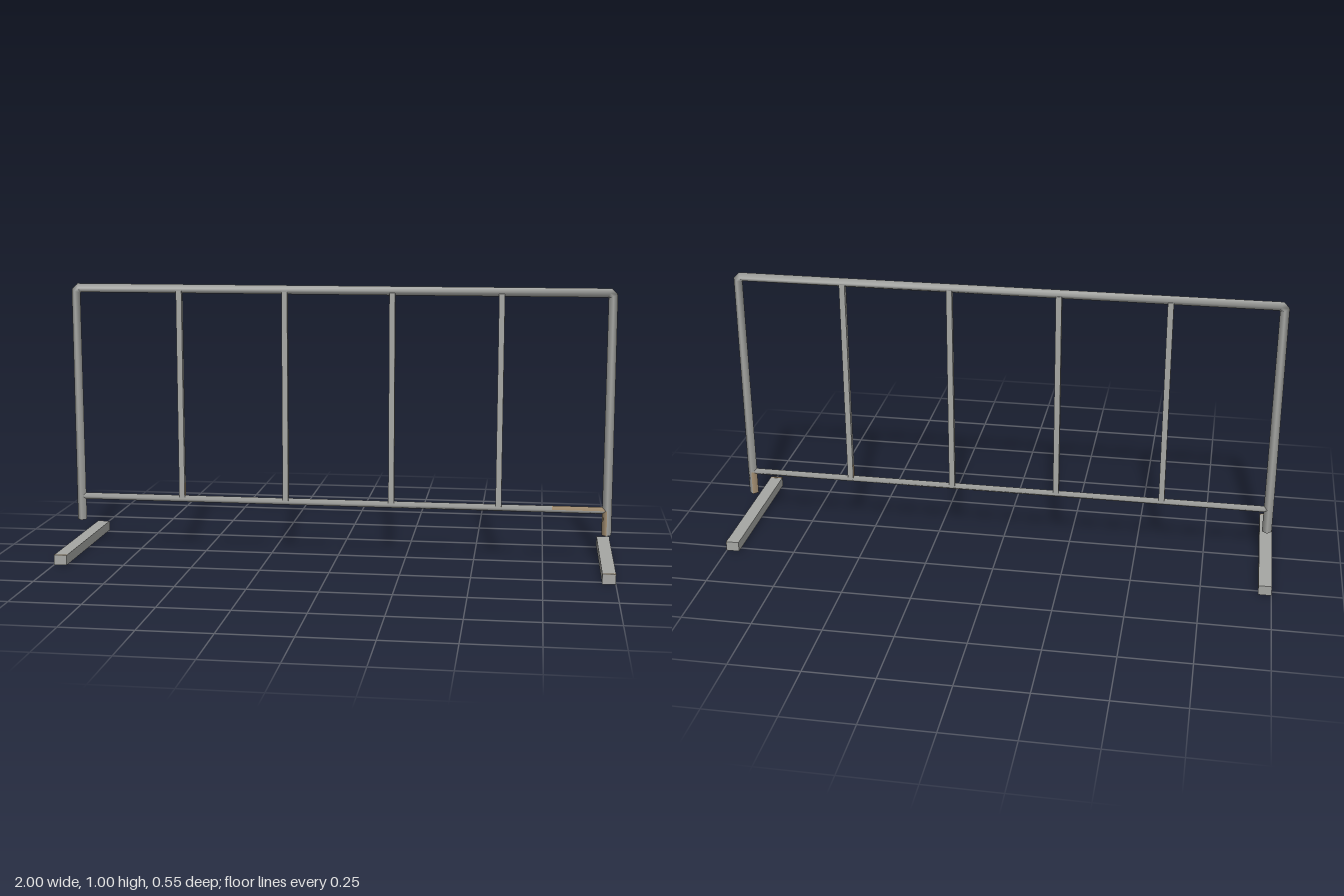
import * as THREE from 'three';

const steel = new THREE.MeshStandardMaterial({ color: 0xa6a7a4 });
steel.name = 'steel';
const rust = new THREE.MeshStandardMaterial({ color: 0xab9577 });
rust.name = 'rust';

const POST_X = 0.976, TOP_Y = 0.981, FOOT_Y = 0.107, RAIL_Y = 0.198;
const FRAME_R = 0.0175, RAIL_R = 0.0125, BAR_W = 0.021, BEVEL = 0.012;
const FOOT_X = 0.9765, FOOT_W = 0.047, FOOT_H = 0.036, FOOT_L = 0.55;

// Four-sided tube bent into an upside-down U, with a small bevel at each corner
function frameGeometry() {
  const c = Math.cos(Math.PI / 8), s = Math.sin(Math.PI / 8);
  const shoulderY = TOP_Y - BEVEL;
  const t = (RAIL_Y - FOOT_Y) / (shoulderY - FOOT_Y);
  // centre x, centre y, outward direction x and y
  const rings = [
    [-POST_X, FOOT_Y, -1, 0],
    [-POST_X, shoulderY, -c, s],
    [-POST_X + BEVEL, TOP_Y, -s, c],
    [POST_X - BEVEL, TOP_Y, s, c],
    [POST_X, shoulderY, c, s],
    [POST_X, RAIL_Y, 1 + (c - 1) * t, s * t],
    [POST_X, FOOT_Y, 1, 0],
  ];
  const positions = [];
  const addRing = ([x, y, nx, ny]) => {
    const first = positions.length / 3;
    for (const [out, side] of [[1, 0], [0, 1], [-1, 0], [0, -1]]) {
      positions.push(x + nx * out * FRAME_R, y + ny * out * FRAME_R, side * FRAME_R);
    }
    return first;
  };
  rings.forEach(addRing);

  const plain = [], rusty = [];
  for (let i = 0; i < rings.length - 1; i++) {
    for (let k = 0; k < 4; k++) {
      const a = i * 4 + k, b = i * 4 + (k + 1) % 4;
      // the inner faces of the left post's lower end are rusty
      const inner = i === rings.length - 2 && (k === 1 || k === 2);
      (inner ? rusty : plain).push(a, b, a + 4, b, b + 4, a + 4);
    }
  }
  // end caps with their own corners, so their edges stay sharp
  const p = addRing(rings[0]);
  plain.push(p, p + 2, p + 1, p, p + 3, p + 2);
  const e = addRing(rings[rings.length - 1]);
  plain.push(e, e + 1, e + 2, e, e + 2, e + 3);

  const geometry = new THREE.BufferGeometry();
  geometry.setAttribute('position', new THREE.Float32BufferAttribute(positions, 3));
  geometry.setIndex([...plain, ...rusty]);
  geometry.addGroup(0, plain.length, 0);
  geometry.addGroup(plain.length, rusty.length, 1);
  geometry.computeVertexNormals();
  return geometry;
}

export function createModel() {
  const model = new THREE.Group();
  model.name = 'crowdBarrier';

  const add = (name, geometry, material, x, y, z = 0) => {
    const mesh = new THREE.Mesh(geometry, material);
    mesh.name = name;
    mesh.position.set(x, y, z);
    model.add(mesh);
    return mesh;
  };

  add('frame', frameGeometry(), [steel, rust], 0, 0);

  // Four-sided lower rail; its upper front face is rusty near the left end
  const rail = (name, from, to, material, firstSide, sides) => {
    const quarter = Math.PI / 2;
    const geometry = new THREE.CylinderGeometry(RAIL_R, RAIL_R, to - from, sides, 1, true,
      firstSide * quarter, sides * quarter);
    add(name, geometry, material, (from + to) / 2, RAIL_Y).rotation.z = quarter;
  };
  rail('lowerRail', -POST_X, 0.78, steel, 0, 4);
  rail('lowerRailEnd', 0.78, POST_X, steel, 1, 3);
  rail('lowerRailRust', 0.78, POST_X, rust, 0, 1);

  // Square upright bars; the outer two are rusty on the sides of their lower ends
  const bar = (name, x, from, to, material) => {
    add(name, new THREE.BoxGeometry(BAR_W, to - from, BAR_W), material, x, (from + to) / 2);
  };
  const rustLine = RAIL_Y + 0.06;
  for (const side of [-1, 1]) {
    bar('innerBar', side * 0.196, RAIL_Y, TOP_Y, steel);
    bar('outerBar', side * 0.587, rustLine, TOP_Y, steel);
    bar('outerBarEnd', side * 0.587, RAIL_Y, rustLine, [rust, rust, steel, steel, steel, steel]);
  }

  // Ground feet, set apart below the posts, with a rusty strip on the front top edge
  const footGeometry = new THREE.BoxGeometry(FOOT_W, FOOT_H, FOOT_L);
  const stripGeometry = new THREE.BoxGeometry(FOOT_W, 0.001, 0.008);
  for (const side of [-1, 1]) {
    add(side > 0 ? 'leftFoot' : 'rightFoot', footGeometry, steel, side * FOOT_X, FOOT_H / 2);
    add('footRustStrip', stripGeometry, rust, side * FOOT_X, FOOT_H + 0.0005, FOOT_L / 2 - 0.004);
  }
  // Rust patch on the outside of the left foot, at the back
  add('footRustPatch', new THREE.BoxGeometry(0.001, FOOT_H, 0.028), rust,
    FOOT_X + FOOT_W / 2 + 0.0005, FOOT_H / 2, -FOOT_L / 2 + 0.014);

  return model;
}
